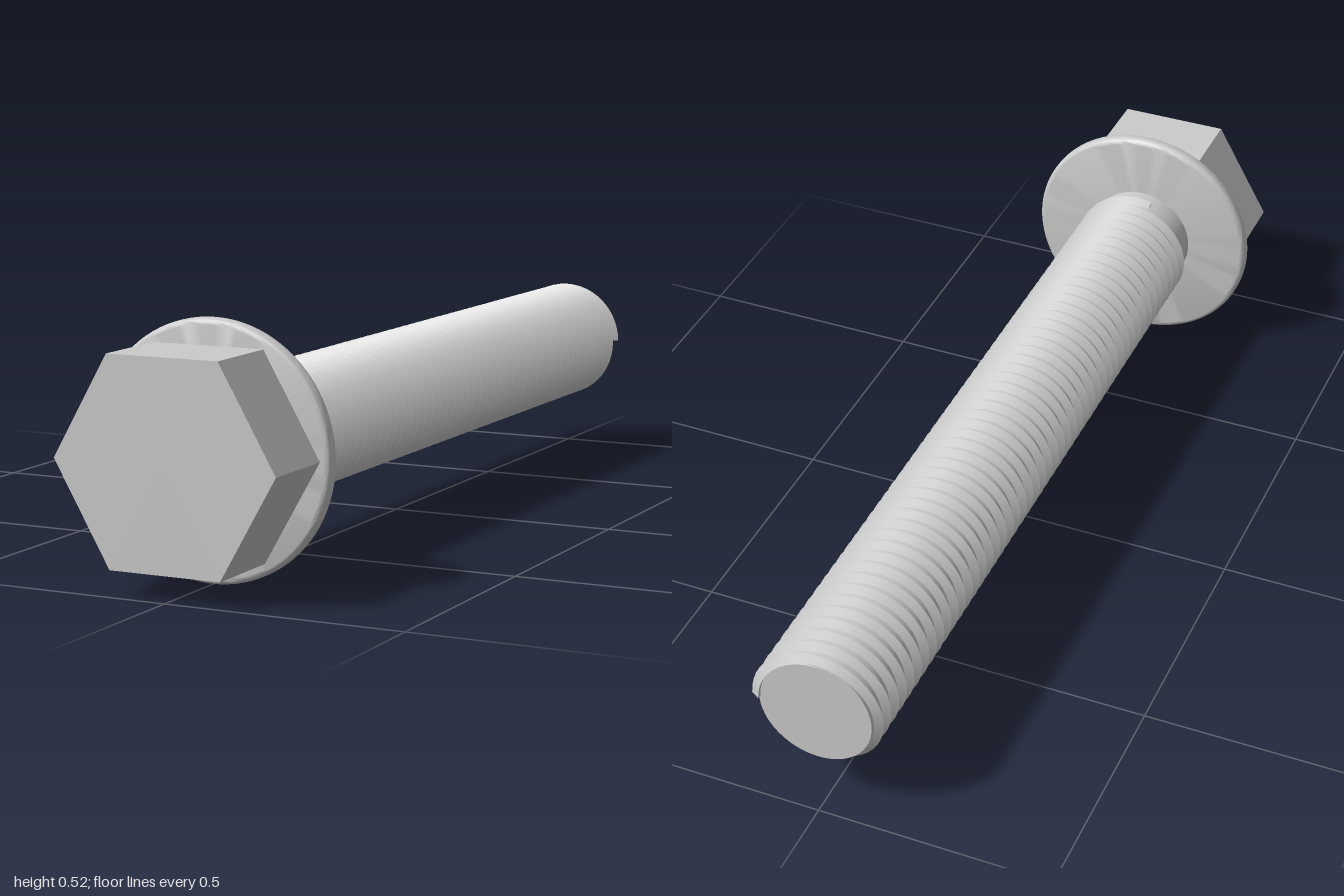
import * as THREE from 'three';
import { toCreasedNormals } from 'three/addons/utils/BufferGeometryUtils.js';

const AXIS_Y = 0.26;
const CORE_R = 0.12;

// Triangular ridge swept clockwise along a helix, from the head towards the tip
function threadGeometry({ zStart, zEnd, startAngle, turns, inner, crest, halfWidth, perTurn }) {
  const steps = Math.round(turns * perTurn);
  const profile = [[inner, halfWidth], [crest, 0], [inner, -halfWidth]];
  const positions = [];
  const index = [];
  for (let i = 0; i <= steps; i++) {
    const t = i / steps;
    const a = startAngle - t * turns * Math.PI * 2;
    const z = zStart + (zEnd - zStart) * t;
    for (const [r, dz] of profile) positions.push(r * Math.cos(a), r * Math.sin(a), z + dz);
    if (i === steps) break;
    for (let k = 0; k < 3; k++) {
      const p = i * 3 + k;
      const q = i * 3 + (k + 1) % 3;
      index.push(p, p + 3, q + 3, p, q + 3, q);
    }
  }
  // End faces
  const e = steps * 3;
  index.push(0, 1, 2, e, e + 2, e + 1);
  const geo = new THREE.BufferGeometry();
  geo.setAttribute('position', new THREE.Float32BufferAttribute(positions, 3));
  geo.setIndex(index);
  return toCreasedNormals(geo, 0.6);
}

export function createModel() {
  const model = new THREE.Group();
  model.name = 'flangeBolt';
  const material = new THREE.MeshStandardMaterial({ color: 0xcccccc });

  function add(name, geometry, mat = material) {
    const mesh = new THREE.Mesh(geometry, mat);
    mesh.name = name;
    mesh.position.y = AXIS_Y;
    model.add(mesh);
    return mesh;
  }

  // Hexagonal head, corners on the x axis
  const flat = material.clone();
  flat.flatShading = true;
  const hex = new THREE.CylinderGeometry(0.239, 0.239, 0.19, 6);
  hex.rotateY(Math.PI / 6).rotateX(Math.PI / 2).translate(0, 0, 0.905);
  add('hexHead', hex, flat);

  // Flange disc with a rounded rim
  const rim = 0.013;
  const z0 = 0.79;
  const z1 = 0.825;
  const points = [new THREE.Vector2(0, z0)];
  for (const [cz, from] of [[z0 + rim, -90], [z1 - rim, 0]]) {
    for (let i = 0; i <= 5; i++) {
      const a = THREE.MathUtils.degToRad(from + i * 18);
      points.push(new THREE.Vector2(0.26 - rim + rim * Math.cos(a), cz + rim * Math.sin(a)));
    }
  }
  points.push(new THREE.Vector2(0, z1));
  const flange = new THREE.LatheGeometry(points, 96).rotateX(Math.PI / 2);
  add('flange', toCreasedNormals(flange, 0.5));

  // Plain cylindrical core
  const coreFront = 0.8;
  const coreBack = -0.99;
  const core = new THREE.CylinderGeometry(CORE_R, CORE_R, coreFront - coreBack, 64);
  core.rotateX(Math.PI / 2).translate(0, 0, (coreFront + coreBack) / 2);
  add('shank', core);

  // Right-handed thread, ending at the +x side of the tip
  const startAngle = THREE.MathUtils.degToRad(107);
  add('thread', threadGeometry({
    zStart: 0.745, zEnd: -0.988, startAngle,
    turns: 48 + startAngle / (Math.PI * 2),
    inner: CORE_R - 0.003, crest: 0.136, halfWidth: 0.012, perTurn: 48,
  }));

  return model;
}
